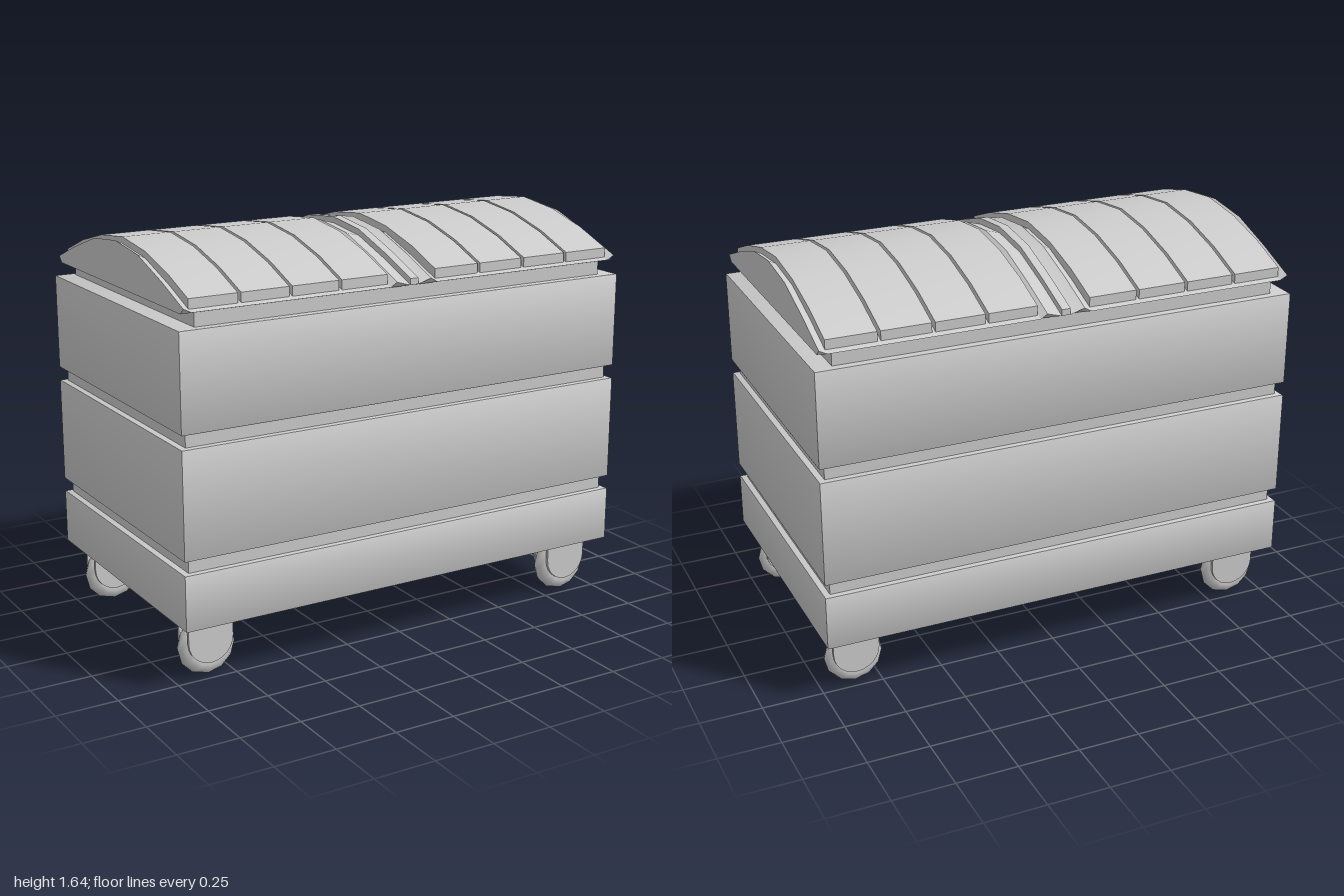
import * as THREE from 'three';
import { toCreasedNormals } from 'three/addons/utils/BufferGeometryUtils.js';

const grey = new THREE.MeshStandardMaterial({ color: 0xcccccc });

function add(parent, name, geometry, x = 0, y = 0, z = 0) {
  const mesh = new THREE.Mesh(geometry, grey);
  mesh.name = name;
  mesh.position.set(x, y, z);
  parent.add(mesh);
  return mesh;
}

// Rectangular slab with slightly softened edges, from y0 to y1
function slab(hx, hz, y0, y1, bevel) {
  const s = new THREE.Shape();
  const a = hx - bevel, b = hz - bevel;
  s.moveTo(-a, -b).lineTo(a, -b).lineTo(a, b).lineTo(-a, b).closePath();
  const g = new THREE.ExtrudeGeometry(s, {
    depth: y1 - y0 - 2 * bevel, bevelEnabled: bevel > 0,
    bevelSize: bevel, bevelThickness: bevel, bevelSegments: 2,
  });
  g.rotateX(-Math.PI / 2);
  g.translate(0, y0 + bevel, 0);
  return toCreasedNormals(g, 0.6);
}

// Half arch as [z, y], mirrored front to back
function arch(half) {
  return [...half, ...half.slice(0, -1).reverse().map(([z, y]) => [-z, y])];
}

// Solid lofted along x; each station is [x, lift of the upper curve]
function loft(upper, lower, stations) {
  const pos = [];
  const n = upper.length;
  const rings = stations.map(([x, lift]) => [
    ...upper.map(([z, y]) => [x, y + lift, z]),
    ...[...lower].reverse().map(([z, y]) => [x, y, z]),
  ]);
  const quad = (a, b, c, d) => pos.push(...a, ...b, ...c, ...a, ...c, ...d);
  const m = 2 * n;
  for (let i = 0; i < rings.length - 1; i++) {
    for (let j = 0; j < m; j++) {
      const k = (j + 1) % m;
      quad(rings[i][j], rings[i + 1][j], rings[i + 1][k], rings[i][k]);
    }
  }
  // End caps
  const first = rings[0], last = rings[rings.length - 1];
  for (let j = 0; j < n - 1; j++) {
    quad(first[j], first[j + 1], first[m - 2 - j], first[m - 1 - j]);
    quad(last[j + 1], last[j], last[m - 1 - j], last[m - 2 - j]);
  }
  const g = new THREE.BufferGeometry();
  g.setAttribute('position', new THREE.Float32BufferAttribute(pos, 3));
  return toCreasedNormals(g, 0.35);
}

function makeCaster() {
  const caster = new THREE.Group();
  caster.name = 'caster';

  // Wheel with a rounded tread
  const section = [[0, -0.035], [0.075, -0.039], [0.098, -0.034], [0.113, -0.02], [0.12, 0],
    [0.113, 0.02], [0.098, 0.034], [0.075, 0.039], [0, 0.035]];
  const wheel = new THREE.LatheGeometry(section.map(([r, h]) => new THREE.Vector2(r, h)), 12);
  wheel.rotateX(Math.PI / 2);
  add(caster, 'wheel', wheel, 0, 0.12, 0);

  // Two cheek plates with round lower ends, joined by a top block
  const cheek = new THREE.Shape();
  cheek.moveTo(0.095, 0.25).lineTo(-0.095, 0.25).lineTo(-0.095, 0.155);
  cheek.absarc(0, 0.155, 0.095, Math.PI, 2 * Math.PI, false);
  cheek.closePath();
  const plate = new THREE.ExtrudeGeometry(cheek, { depth: 0.012, bevelEnabled: false, curveSegments: 6 });
  for (const z of [-0.049, 0.037]) add(caster, 'forkPlate', plate, 0, 0, z);
  add(caster, 'forkTop', new THREE.BoxGeometry(0.19, 0.042, 0.098), 0, 0.229, 0);
  return caster;
}

export function createModel() {
  const bin = new THREE.Group();
  bin.name = 'wheeledContainer';

  // Body: three wide bands around a recessed core
  const body = new THREE.Group();
  body.name = 'body';
  bin.add(body);
  for (const [y0, y1] of [[0.243, 0.47], [0.523, 0.957], [1.01, 1.4]]) {
    add(body, 'bodyBand', slab(0.998, 0.578, y0, y1, 0.006));
  }
  add(body, 'recessedCore', slab(0.972, 0.554, 0.3, 1.3, 0));
  add(body, 'neck', slab(0.922, 0.547, 1.38, 1.47, 0));

  // Arched lid with raised rims at its ends and beside the middle seam
  const lid = new THREE.Group();
  lid.name = 'lid';
  bin.add(lid);
  const base = arch([[0.578, 1.462], [0.4, 1.53], [0.2, 1.595], [0, 1.617]]);
  const under = base.map(([z]) => [z * 0.955, 1.455]);
  const half = [[0.02, 0], [0.078, 0.017], [0.105, 0], [0.945, 0], [0.978, 0.017]];
  const stations = [...half.map(([x, d]) => [-x, d]).reverse(), ...half];
  add(lid, 'lidShell', loft(base, under, stations));

  // Rib along the middle seam
  const ribTop = base.map(([z, y]) => [z, y + 0.025]);
  add(lid, 'seamRib', loft(ribTop, base, [[-0.018, 0], [0.018, 0]]));

  // Four raised slats on each lid half
  const slatTop = arch([[0.556, 1.509], [0.39, 1.572], [0.2, 1.622], [0, 1.645]]);
  const slatLow = arch([[0.556, 1.465], [0.39, 1.525], [0.2, 1.585], [0, 1.607]]);
  for (const side of [-1, 1]) {
    for (let i = 0; i < 4; i++) {
      const x = side * (0.209 + i * 0.213);
      add(lid, 'lidSlat', loft(slatTop, slatLow, [[-0.1, 0], [0.1, 0]]), x);
    }
  }

  // Casters near the four corners
  for (const x of [-0.855, 0.855]) {
    for (const z of [-0.445, 0.445]) {
      const caster = makeCaster();
      caster.position.set(x, 0, z);
      bin.add(caster);
    }
  }
  return bin;
}
